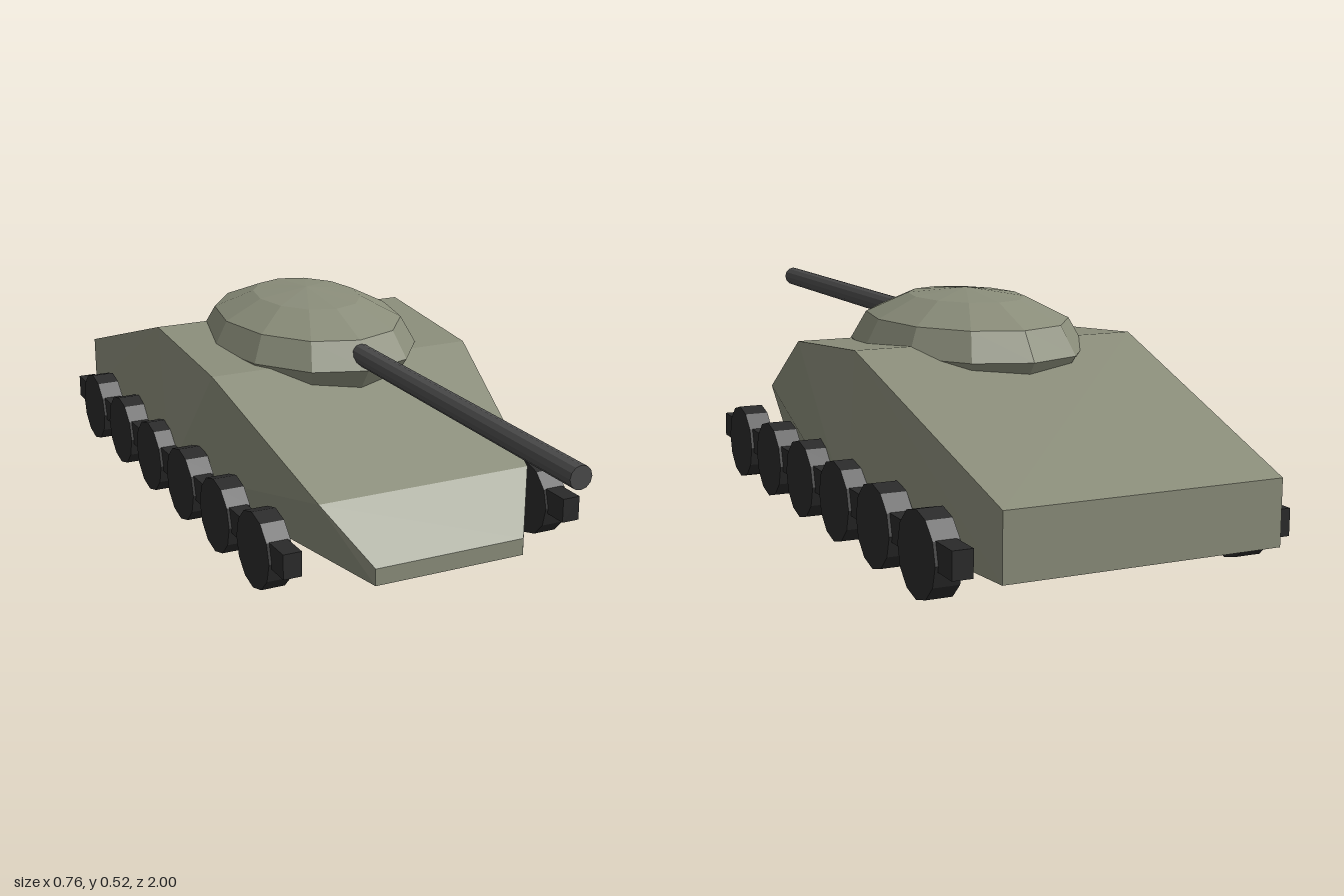
import * as THREE from 'three';
import { ConvexGeometry } from 'three/addons/geometries/ConvexGeometry.js';

const paint = (color) => new THREE.MeshStandardMaterial({ color, flatShading: true });

export function createModel() {
  const model = new THREE.Group();
  const armour = paint(0x8a8d7a);
  const steel = paint(0x4a4a4a);
  const rubber = paint(0x2a2a2a);

  const add = (name, geometry, material, x, y, z) => {
    const mesh = new THREE.Mesh(geometry, material);
    mesh.name = name;
    mesh.position.set(x, y, z);
    model.add(mesh);
    return mesh;
  };

  // Faceted hull: mirrored corner points as [half width, height, z]
  const corners = [
    [0.186, 0.09, 0.535], [0.265, 0.21, 0.42], [0.337, 0.39, 0.0],
    [0.337, 0.42, -0.36], [0.305, 0.22, -1.0], // top edge, front to back
    [0.186, 0.05, 0.535], [0.337, 0.05, -0.31], [0.305, 0.08, -1.0], // bottom edge
  ];
  const points = corners.flatMap(([x, y, z]) => [
    new THREE.Vector3(x, y, z), new THREE.Vector3(-x, y, z),
  ]);
  add('hull', new ConvexGeometry(points), armour, 0, 0, 0);

  // Flattened oval turret, sunk into the roof
  const dome = new THREE.SphereGeometry(1, 12, 6);
  dome.scale(0.25, 0.126, 0.34);
  add('turret', dome, armour, 0, 0.397, -0.2);

  // Gun barrel
  const tube = new THREE.CylinderGeometry(0.025, 0.025, 1.1, 12);
  tube.rotateX(Math.PI / 2);
  add('gunBarrel', tube, steel, 0, 0.427, 0.45);

  // Running gear on both sides
  const wheel = new THREE.CylinderGeometry(0.09, 0.09, 0.057, 12);
  wheel.rotateZ(Math.PI / 2);
  const bar = new THREE.BoxGeometry(0.044, 0.058, 1.41);
  for (const [side, sign] of [['left', 1], ['right', -1]]) {
    add(`${side}TrackBar`, bar, rubber, sign * 0.353, 0.107, -0.23);
    for (let i = 0; i < 6; i++) {
      add(`${side}Wheel${i + 1}`, wheel, rubber, sign * 0.353, 0.09, 0.325 - i * 0.222);
    }
  }

  return model;
}
